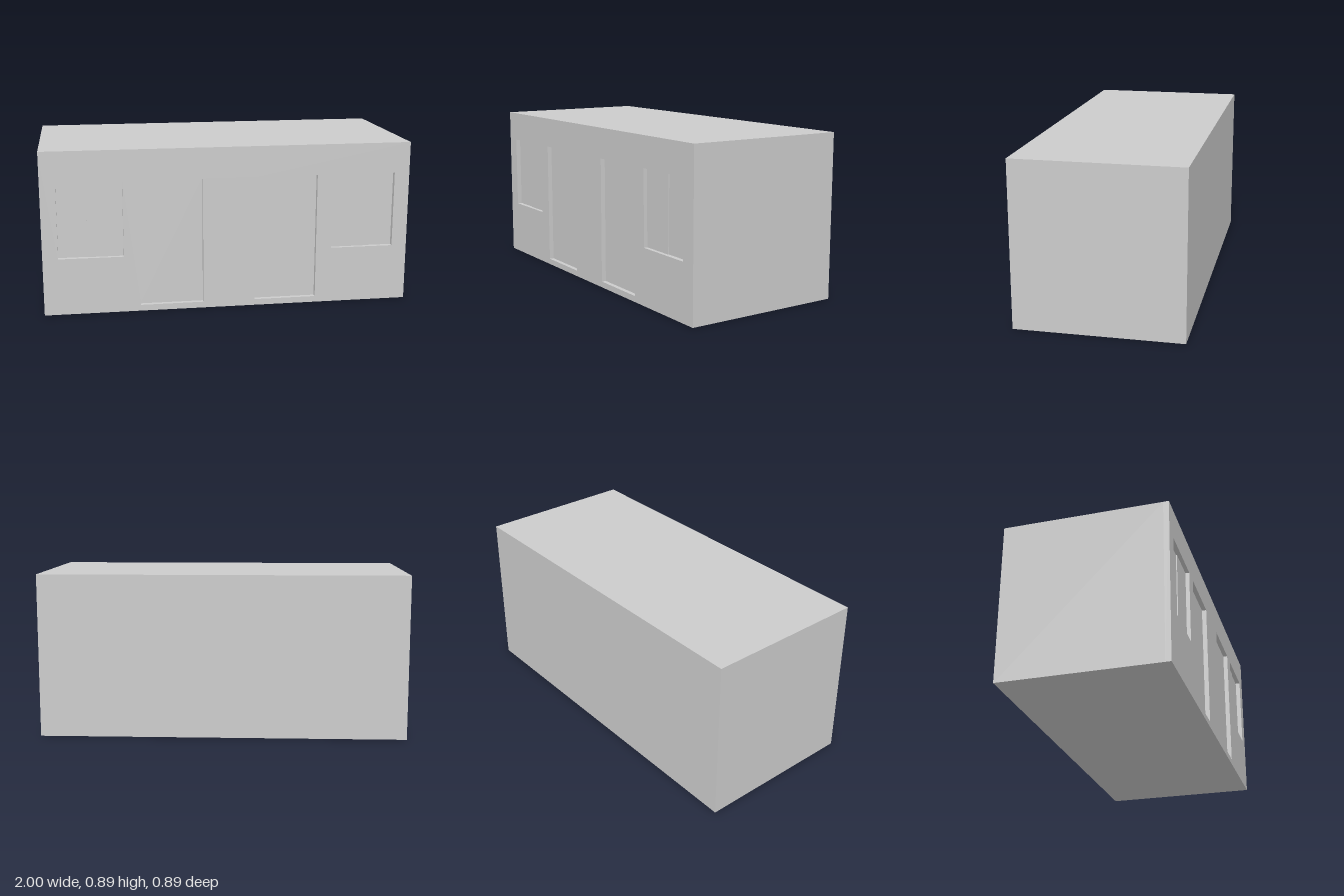
import * as THREE from 'three';

const W = 2, H = 0.89, D = 0.89, RECESS = 0.03;
const WALL_BACK = D / 2 - RECESS;
const DOOR = { x0: 0.142, x1: 0.484, y0: 0.033, y1: 0.722 };
const WINDOW = { x0: 0.57, x1: 0.917, y0: 0.31, y1: 0.722 };
const PANE_EDGE = 0.76;

export function createModel() {
  const group = new THREE.Group();
  const material = new THREE.MeshStandardMaterial({ color: 0xcccccc, flatShading: true });

  const add = (name, geometry, x, y, z) => {
    const mesh = new THREE.Mesh(geometry, material);
    mesh.name = name;
    mesh.position.set(x, y, z);
    group.add(mesh);
  };

  // Thin panel standing on the back of a recess
  const panel = (name, side, x0, x1, y0, y1, thickness) =>
    add(name, new THREE.BoxGeometry(x1 - x0, y1 - y0, thickness),
      side * (x0 + x1) / 2, (y0 + y1) / 2, WALL_BACK + thickness / 2);

  // Cabin body behind the front wall
  add('body', new THREE.BoxGeometry(W, H, D - RECESS), 0, H / 2, -RECESS / 2);

  // Front wall with door and window openings
  const wall = new THREE.Shape();
  wall.moveTo(-W / 2, 0).lineTo(W / 2, 0).lineTo(W / 2, H).lineTo(-W / 2, H).closePath();
  for (const side of [-1, 1]) {
    for (const { x0, x1, y0, y1 } of [DOOR, WINDOW]) {
      const hole = new THREE.Path();
      hole.moveTo(side * x0, y0).lineTo(side * x0, y1).lineTo(side * x1, y1).lineTo(side * x1, y0).closePath();
      wall.holes.push(hole);
    }
  }
  add('frontWall', new THREE.ExtrudeGeometry(wall, { depth: RECESS, bevelEnabled: false }), 0, 0, WALL_BACK);

  // Door leaves and sliding window panes, mirrored
  for (const side of [-1, 1]) {
    const label = side > 0 ? 'left' : 'right';
    panel(label + 'Door', side, DOOR.x0, DOOR.x1, DOOR.y0, DOOR.y1, 0.005);
    panel(label + 'InnerWindowPane', side, WINDOW.x0, PANE_EDGE, WINDOW.y0, WINDOW.y1, 0.009);
    panel(label + 'OuterWindowPane', side, PANE_EDGE, WINDOW.x1, WINDOW.y0, WINDOW.y1, 0.004);
  }
  return group;
}
